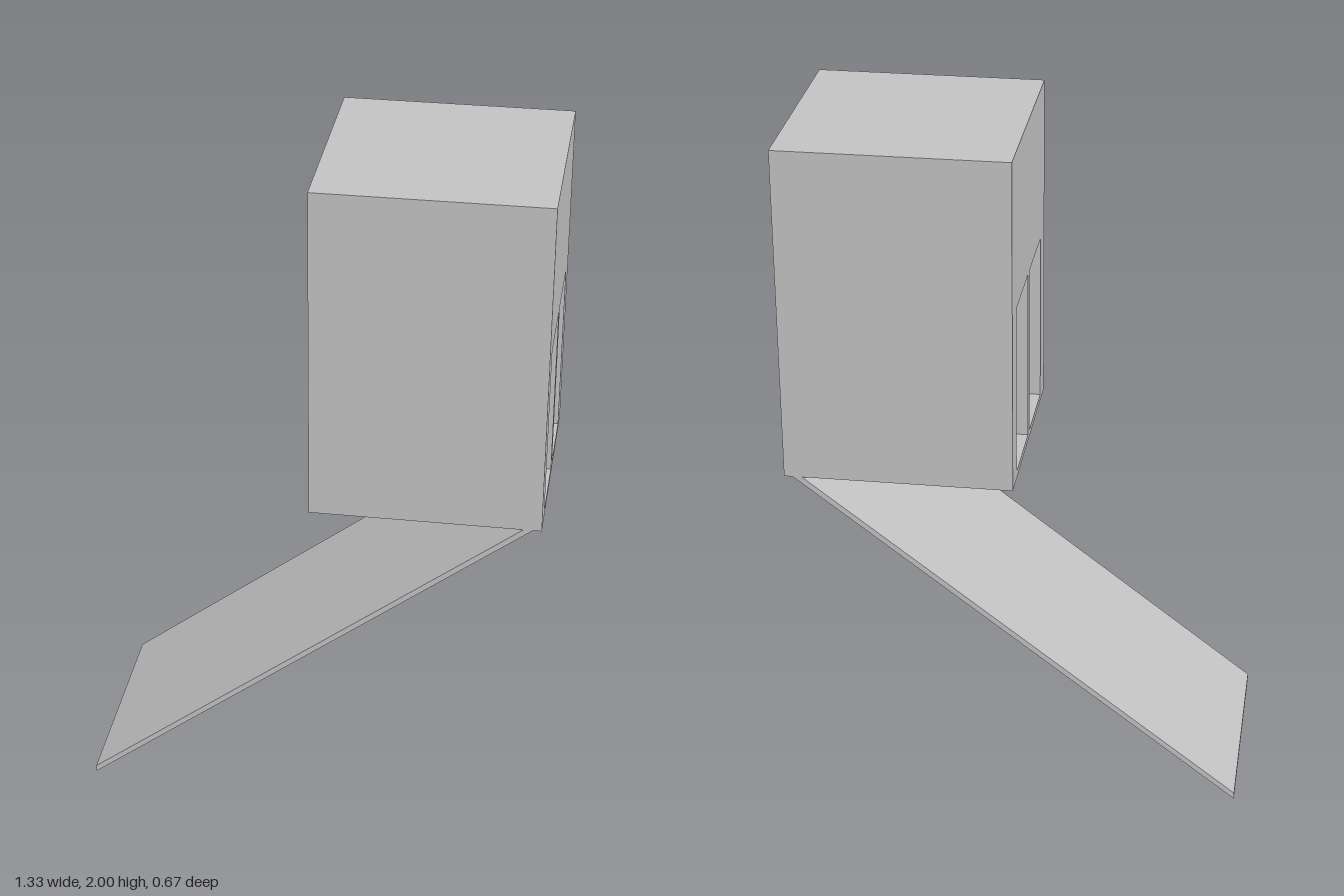
import * as THREE from 'three';

const WIDTH = 0.667;   // cabin width and depth
const HALF = WIDTH / 2;
const POCKET = 0.31;   // depth of each doorway recess

function rectangle(Type, x0, y0, x1, y1) {
  return new Type([[x0, y0], [x1, y0], [x1, y1], [x0, y1]].map(([x, y]) => new THREE.Vector2(x, y)));
}

export function createModel() {
  const model = new THREE.Group();
  const grey = new THREE.MeshStandardMaterial({ color: 0xc2c2c2 });
  grey.name = 'plain grey';

  function add(name, geometry, parent = model) {
    const mesh = new THREE.Mesh(geometry, grey);
    mesh.name = name;
    parent.add(mesh);
    return mesh;
  }

  // Raised cabin: two pierced side blocks with a solid partition between them
  const cabin = new THREE.Group();
  cabin.name = 'cabin';
  model.add(cabin);

  const side = rectangle(THREE.Shape, -HALF, 1, HALF, 2);
  side.holes.push(
    rectangle(THREE.Path, -0.253, 1.02, -0.018, 1.535),
    rectangle(THREE.Path, 0.018, 1.02, 0.253, 1.535),
  );
  const sideGeometry = new THREE.ExtrudeGeometry(side, { depth: POCKET, bevelEnabled: false });
  sideGeometry.rotateY(Math.PI / 2);
  add('leftDoorwayBlock', sideGeometry, cabin).position.x = WIDTH - POCKET;
  add('rightDoorwayBlock', sideGeometry, cabin);

  const partition = add('partition', new THREE.BoxGeometry(WIDTH - 2 * POCKET, 1, WIDTH), cabin);
  partition.position.set(HALF, 1.5, 0);

  // Sloping ramp with a vertical foot, meeting the underside of the cabin
  const profile = new THREE.Shape([
    [-WIDTH, 0], [0.642, 1], [0.615, 1], [-WIDTH, 0.02],
  ].map(([x, y]) => new THREE.Vector2(x, y)));
  const ramp = new THREE.ExtrudeGeometry(profile, { depth: WIDTH, bevelEnabled: false });
  ramp.translate(0, 0, -HALF);
  add('ramp', ramp);

  return model;
}
